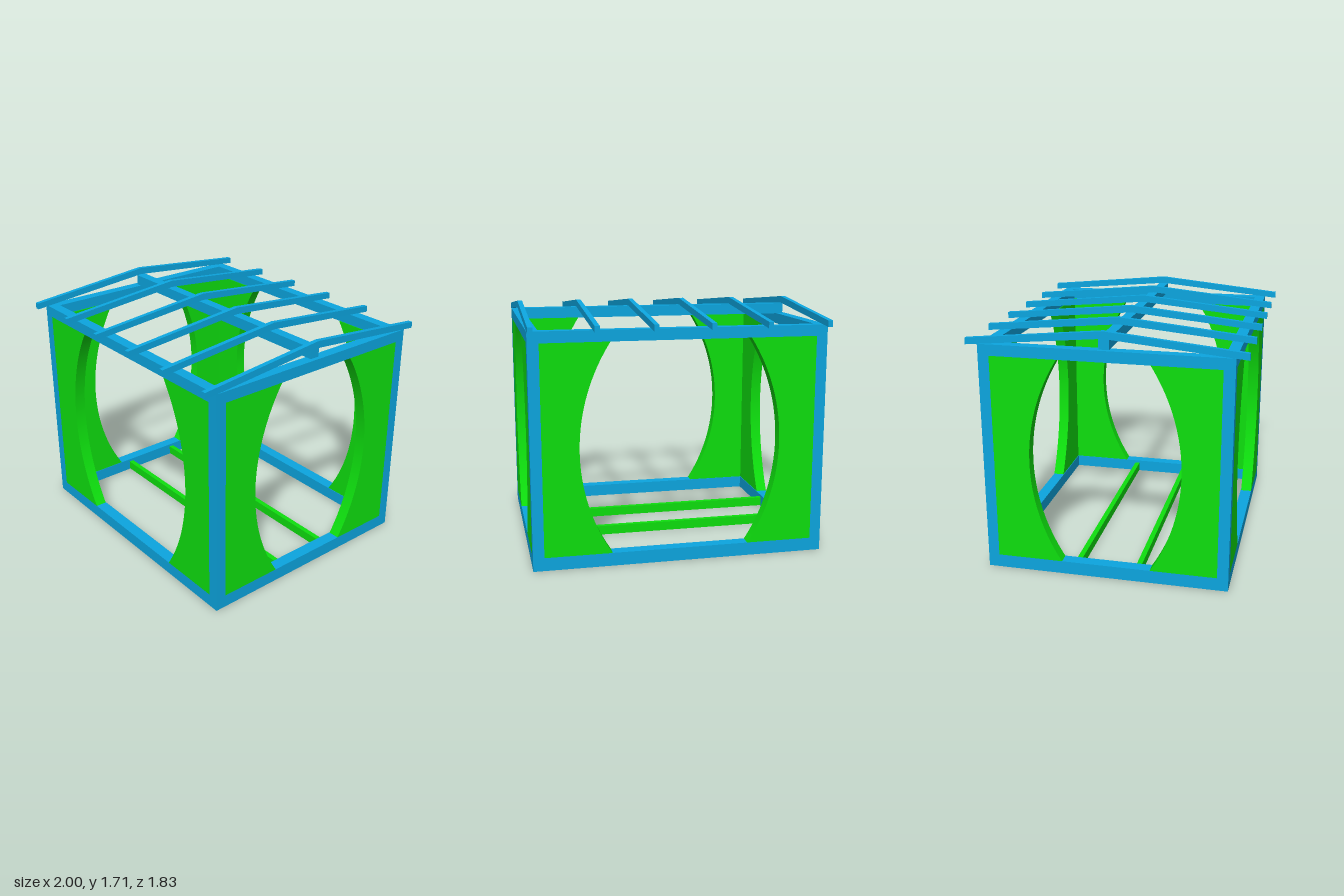
import * as THREE from 'three';
import { toCreasedNormals } from 'three/addons/utils/BufferGeometryUtils.js';

const blue = new THREE.MeshStandardMaterial({ color: 0x0ca6e0 });
const green = new THREE.MeshStandardMaterial({ color: 0x0ee00e });

const HX = 1, HZ = 0.832;                 // half width and half depth of the frame
const BASE = 0.09, PLATE = 1.51, TOP = 1.585;
const POST = 0.075, SILL = 0.084, PANEL = 0.08;

export function createModel() {
  const model = new THREE.Group();

  // Box given by its minimum and maximum corners
  function beam(name, material, x0, x1, y0, y1, z0, z1) {
    const mesh = new THREE.Mesh(new THREE.BoxGeometry(x1 - x0, y1 - y0, z1 - z0), material);
    mesh.position.set((x0 + x1) / 2, (y0 + y1) / 2, (z0 + z1) / 2);
    mesh.name = name;
    model.add(mesh);
  }

  // Rectangular ring of four beams
  function ring(name, y0, y1, w) {
    for (const s of [-1, 1]) {
      const z = s * (HZ - w / 2), x = s * (HX - w / 2);
      beam(name + 'Long', blue, -HX, HX, y0, y1, z - w / 2, z + w / 2);
      beam(name + 'Side', blue, x - w / 2, x + w / 2, y0, y1, -HZ + w, HZ - w);
    }
  }
  ring('sillBeam', 0, BASE, SILL);
  ring('topBeam', PLATE, TOP, POST);

  // Corner posts
  for (const sx of [-1, 1]) for (const sz of [-1, 1]) {
    const x = sx * (HX - POST / 2), z = sz * (HZ - POST / 2), h = POST / 2;
    beam('cornerPost', blue, x - h, x + h, BASE, PLATE, z - h, z + h);
  }

  // Wall panel with a concave arc along its free edge, front face at z = 0
  function panelGeometry(outer, tip, waist, side) {
    const mid = (BASE + PLATE) / 2, half = (PLATE - BASE) / 2, sag = waist - tip;
    const r = (half * half + sag * sag) / (2 * sag);
    const a = Math.asin(half / r);
    const shape = new THREE.Shape();
    shape.moveTo(side * outer, BASE);
    shape.lineTo(side * outer, PLATE);
    for (let i = 0; i <= 32; i++) {
      const t = a - (2 * a * i) / 32;
      shape.lineTo(side * (waist - r + r * Math.cos(t)), mid + r * Math.sin(t));
    }
    shape.closePath();
    const geo = new THREE.ExtrudeGeometry(shape, { depth: PANEL, bevelEnabled: false });
    geo.translate(0, 0, -PANEL);
    return toCreasedNormals(geo, 0.5);
  }

  // Two panels on each of the four walls
  const walls = [
    { name: 'frontPanel', turn: 0, out: HZ, outer: HX - POST, tip: 0.47, waist: 0.68 },
    { name: 'backPanel', turn: Math.PI, out: HZ, outer: HX - POST, tip: 0.47, waist: 0.68 },
    { name: 'leftPanel', turn: Math.PI / 2, out: HX, outer: HZ - POST, tip: 0.305, waist: 0.51 },
    { name: 'rightPanel', turn: -Math.PI / 2, out: HX, outer: HZ - POST, tip: 0.305, waist: 0.51 },
  ];
  for (const w of walls) for (const side of [-1, 1]) {
    const mesh = new THREE.Mesh(panelGeometry(w.outer, w.tip, w.waist, side), green);
    mesh.name = w.name;
    mesh.rotation.y = w.turn;
    mesh.position.set(Math.sin(w.turn) * w.out, 0, Math.cos(w.turn) * w.out);
    model.add(mesh);
  }

  // Floor joists
  for (const z of [-0.21, 0.21]) {
    beam('floorJoist', green, -0.925, 0.925, 0.005, 0.07, z - 0.018, z + 0.018);
  }

  // Ridge beam
  beam('ridgeBeam', blue, -0.97, 0.97, TOP, 1.66, -0.035, 0.035);

  // Rafters: shallow chevrons drawn in depth and height
  const profile = new THREE.Shape([
    [-0.915, 1.577], [0, 1.662], [0.915, 1.577], [0.915, 1.62], [0, 1.71], [-0.915, 1.62],
  ].map(([z, y]) => new THREE.Vector2(z, y)));
  const T = 0.033;
  const rafterGeo = new THREE.ExtrudeGeometry(profile, { depth: T, bevelEnabled: false });
  rafterGeo.translate(0, 0, -T / 2);
  rafterGeo.rotateY(-Math.PI / 2);
  for (const x of [-0.983, -0.574, -0.193, 0.187, 0.566, 0.983]) {
    const rafter = new THREE.Mesh(rafterGeo, blue);
    rafter.name = 'rafter';
    rafter.position.x = x;
    model.add(rafter);
  }

  return model;
}
